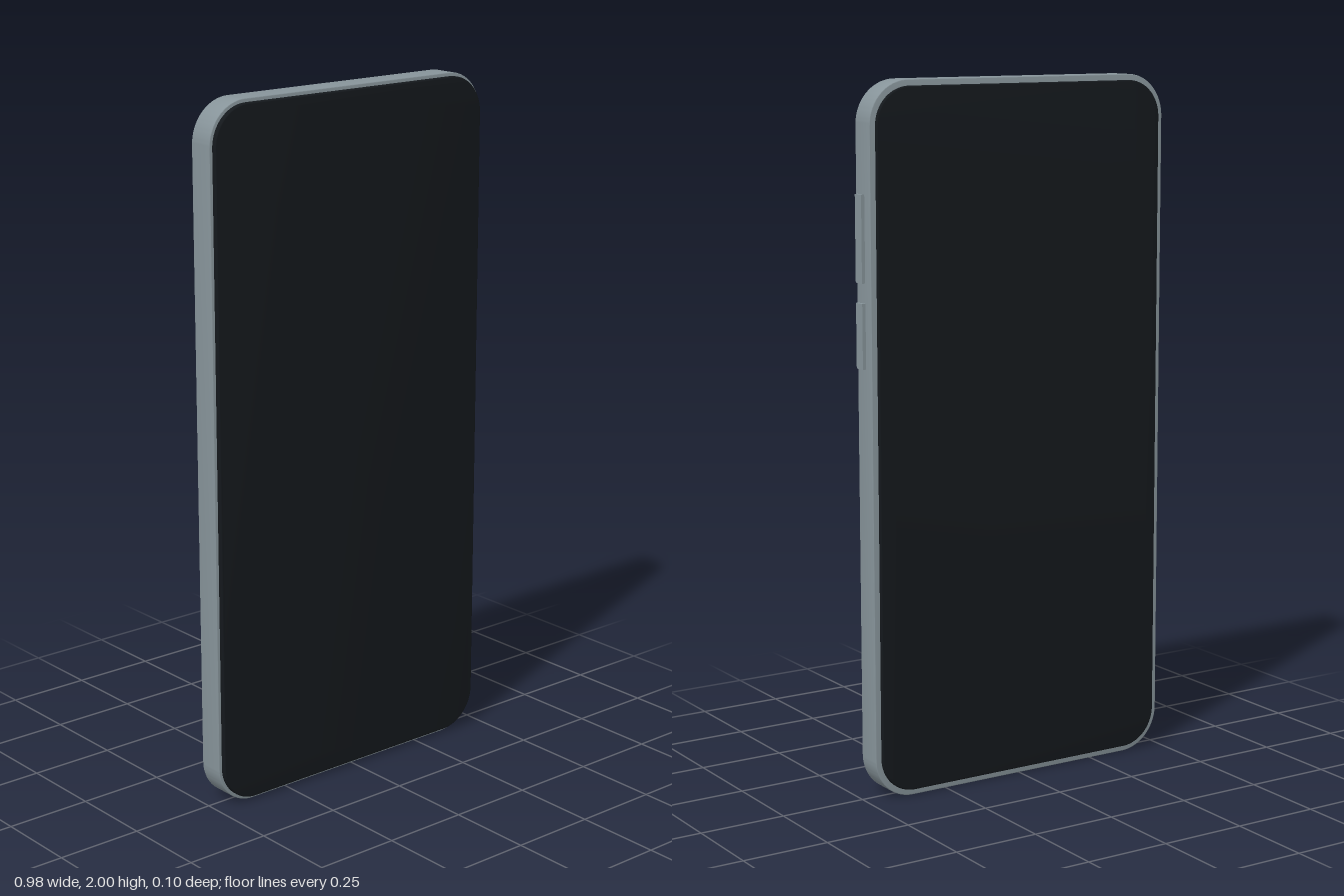
import * as THREE from 'three';
import { toCreasedNormals } from 'three/addons/utils/BufferGeometryUtils.js';

const CX = -0.005; // body sits slightly off centre because of the side buttons

function roundedRect(w, h, r) {
  const x = w / 2, y = h / 2, s = new THREE.Shape();
  s.moveTo(-x + r, -y);
  s.lineTo(x - r, -y);
  s.absarc(x - r, -y + r, r, -Math.PI / 2, 0);
  s.lineTo(x, y - r);
  s.absarc(x - r, y - r, r, 0, Math.PI / 2);
  s.lineTo(-x + r, y);
  s.absarc(-x + r, y - r, r, Math.PI / 2, Math.PI);
  s.lineTo(-x, -y + r);
  s.absarc(-x + r, -y + r, r, Math.PI, Math.PI * 1.5);
  return s;
}

// Rounded slab between z0 and z1; the bevel stays inside the given size
function slab(name, w, h, r, z0, z1, bevel, material) {
  const geo = new THREE.ExtrudeGeometry(roundedRect(w - 2 * bevel, h - 2 * bevel, r - bevel), {
    depth: z1 - z0 - 2 * bevel, curveSegments: 16,
    bevelEnabled: true, bevelThickness: bevel, bevelSize: bevel, bevelSegments: 3,
  });
  geo.translate(0, 0, z0 + bevel);
  const mesh = new THREE.Mesh(toCreasedNormals(geo, 0.6), material);
  mesh.name = name;
  mesh.position.set(CX, 1, 0);
  return mesh;
}

export function createModel() {
  const group = new THREE.Group();
  group.name = 'phone';
  const metal = new THREE.MeshStandardMaterial({ color: 0x87949a });
  const glass = new THREE.MeshStandardMaterial({ color: 0x14181c });

  // Metal frame with a glass panel on each face
  group.add(slab('frame', 0.966, 2, 0.12, -0.04, 0.036, 0.002, metal));
  group.add(slab('frontGlass', 0.948, 1.98, 0.111, 0.034, 0.05, 0.004, glass));
  group.add(slab('backGlass', 0.932, 1.966, 0.105, -0.05, -0.038, 0.004, glass));

  // Side buttons on the model's left edge
  for (const [name, y0, y1] of [['volumeButton', 1.455, 1.695], ['powerButton', 1.22, 1.4]]) {
    const button = new THREE.Mesh(new THREE.BoxGeometry(0.02, y1 - y0, 0.034), metal);
    button.name = name;
    button.position.set(0.478, (y0 + y1) / 2, 0.008);
    group.add(button);
  }
  return group;
}
